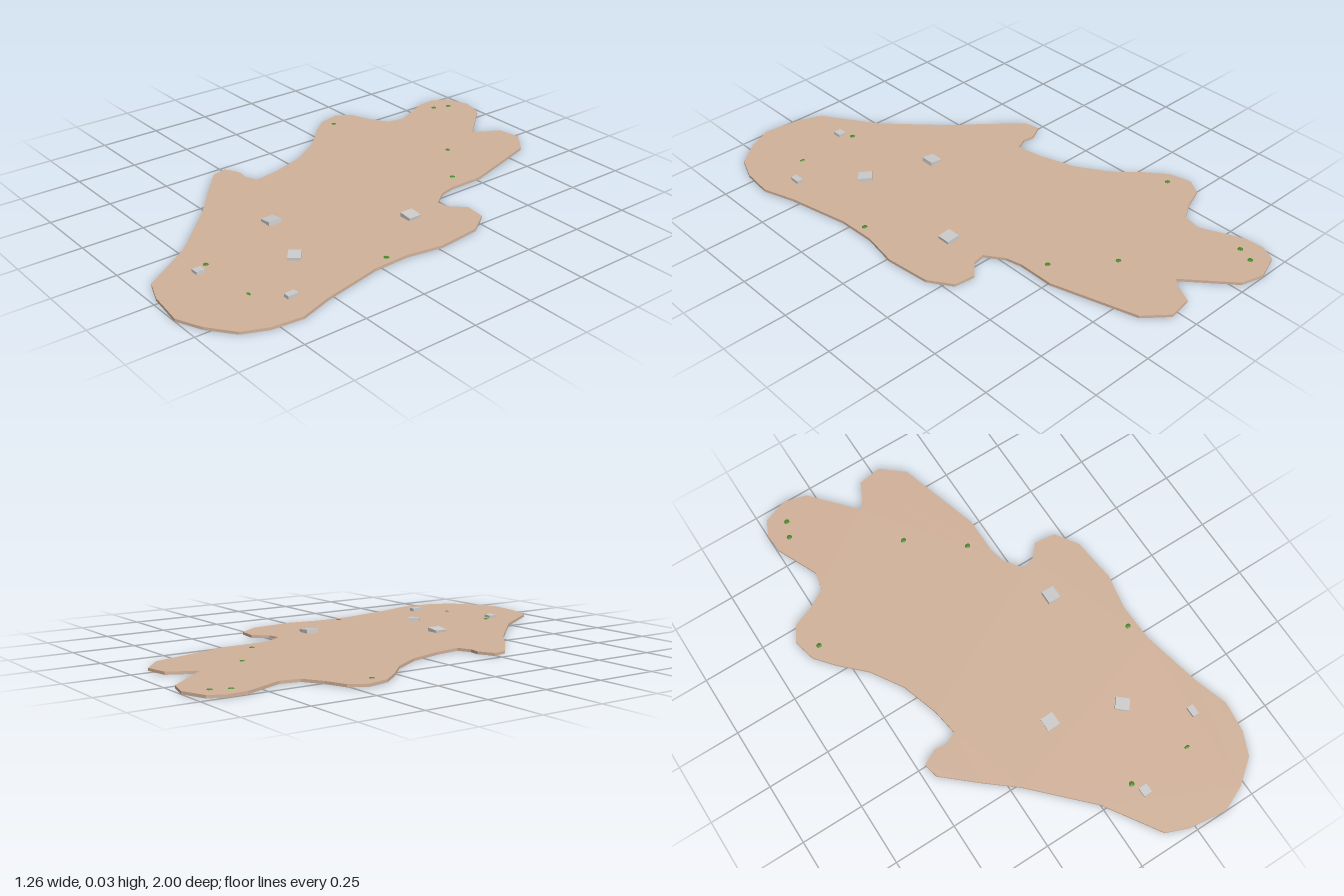
import * as THREE from 'three';

const SLAB = 0.011;

// Island outline as [x, z], clockwise seen from above
const OUTLINE = [
  [-0.37, -1], [-0.28, -0.975], [-0.125, -0.8], [-0.1, -0.835], [-0.065, -0.905], [0.03, -0.92],
  [0.12, -0.845], [0.22, -0.51], [0.22, -0.365], [0.235, -0.3], [0.285, -0.23], [0.335, -0.24],
  [0.385, -0.295], [0.47, -0.285], [0.53, -0.195], [0.55, -0.015], [0.525, 0.13], [0.53, 0.28],
  [0.585, 0.53], [0.628, 0.66], [0.615, 0.785], [0.575, 0.88], [0.48, 0.955], [0.38, 1],
  [0.23, 0.98], [0.14, 0.945], [0, 0.73], [-0.21, 0.515], [-0.325, 0.42], [-0.455, 0.305],
  [-0.468, 0.245], [-0.405, 0.213], [-0.36, 0.22], [-0.308, 0.197], [-0.325, 0.09], [-0.373, -0.06],
  [-0.452, -0.185], [-0.548, -0.28], [-0.61, -0.355], [-0.632, -0.445], [-0.595, -0.508],
  [-0.51, -0.54], [-0.435, -0.585], [-0.42, -0.66], [-0.495, -0.825], [-0.5, -0.9], [-0.47, -0.963],
];

// Stone blocks: x, z, width, depth, turn, tilt, top height
const BLOCKS = [
  [0.31, -0.07, 0.053, 0.054, 0, -0.1, 0.025],
  [0.02, 0.362, 0.053, 0.055, 0, 0.12, 0.024],
  [0.29, 0.452, 0.055, 0.048, -0.7, -0.06, 0.024],
  [0.5, 0.62, 0.026, 0.042, 0, 0, 0.024],
  [0.17, 0.775, 0.034, 0.036, 0, 0.06, 0.022],
];

// Shrubs: x, z, half depth
const SHRUBS = [
  [-0.405, -0.915, 0.011], [-0.43, -0.85, 0.011], [-0.053, -0.59, 0.01], [0.15, -0.43, 0.01],
  [-0.563, -0.385, 0.01], [0.493, 0.2, 0.01], [0.142, 0.727, 0.011], [0.4, 0.723, 0.006],
];

export function createModel() {
  const model = new THREE.Group();
  model.name = 'island';
  const ground = new THREE.MeshStandardMaterial({ color: 0xd2b29a });
  const stone = new THREE.MeshStandardMaterial({ color: 0xcccccc });
  const leaf = new THREE.MeshStandardMaterial({ color: 0x4a8a2a, flatShading: true });

  const add = (name, geometry, material, x = 0, y = 0, z = 0) => {
    const mesh = new THREE.Mesh(geometry, material);
    mesh.name = name;
    mesh.position.set(x, y, z);
    model.add(mesh);
    return mesh;
  };

  // Thin ground slab
  const shape = new THREE.Shape(OUTLINE.map(([x, z]) => new THREE.Vector2(x, -z)));
  const slab = new THREE.ExtrudeGeometry(shape, { depth: SLAB, bevelEnabled: false });
  add('groundSlab', slab.rotateX(-Math.PI / 2), ground);

  // Slightly tilted stone blocks, sunk into the slab
  BLOCKS.forEach(([x, z, w, d, turn, tilt, top], i) => {
    const h = 0.018;
    const block = add(`stoneBlock${i + 1}`, new THREE.BoxGeometry(w, h, d), stone, x, top - h / 2, z);
    block.rotation.set(0, turn, tilt);
  });

  // Low flattened shrubs
  SHRUBS.forEach(([x, z, depth], i) => {
    const shrub = add(`shrub${i + 1}`, new THREE.IcosahedronGeometry(1, 1), leaf, x, SLAB, z);
    shrub.scale.set(0.011, 0.003, depth);
  });

  return model;
}
